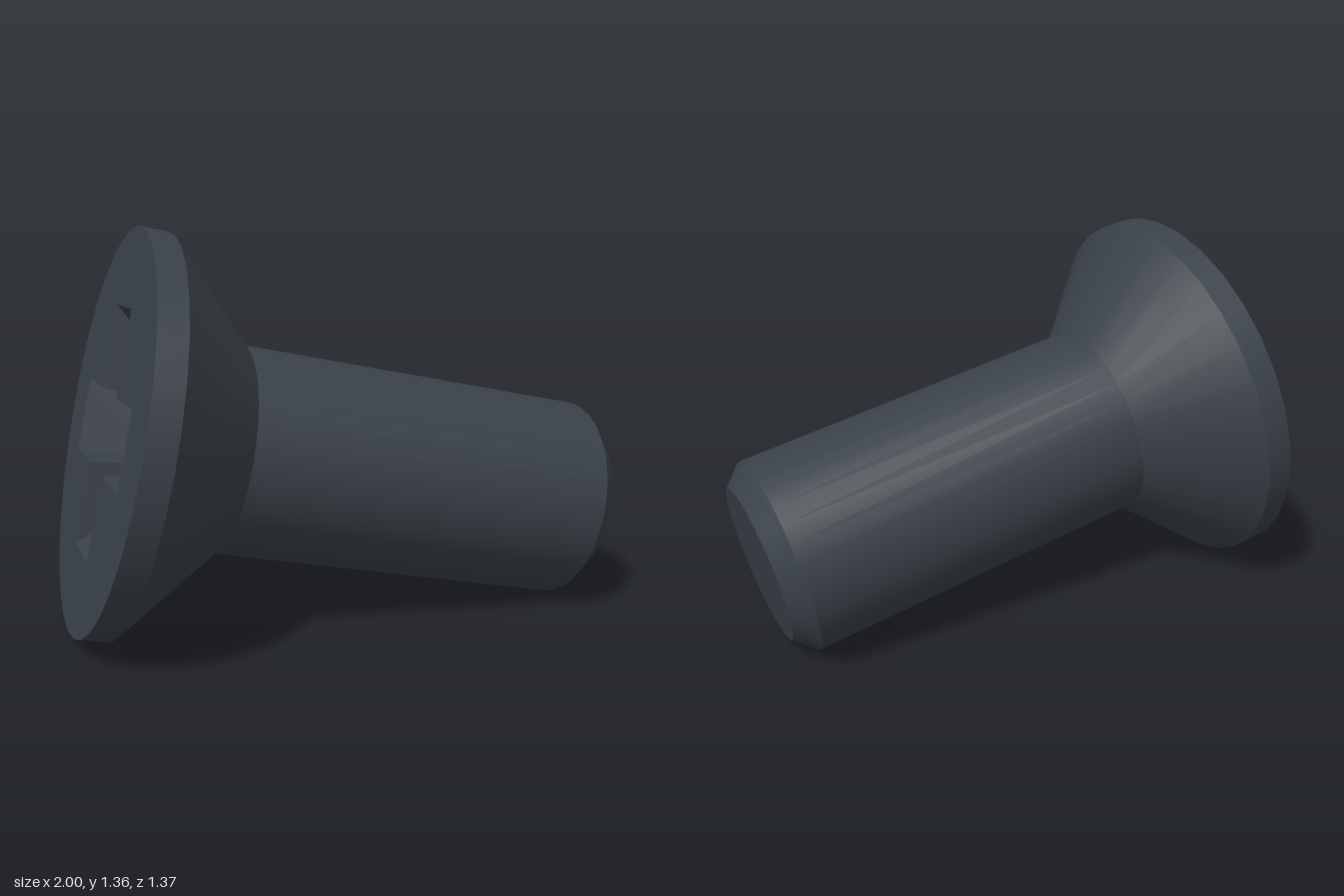
import * as THREE from 'three';

const SIDES = 32;
const HEAD_R = 0.684, SHAFT_R = 0.36, TIP_R = 0.288;
const RIM_T = 0.096, NECK_T = 0.42, CHAMFER_T = 1.728, END_T = 1.8;

// Twelve corners of a plus shape, counter-clockwise
function crossLoop(length, width) {
  const corners = [];
  for (let k = 0; k < 4; k++) {
    const c = Math.round(Math.cos(k * Math.PI / 2)), s = Math.round(Math.sin(k * Math.PI / 2));
    for (const [x, y] of [[length, -width], [length, width], [width, width]]) {
      corners.push(new THREE.Vector2(x * c - y * s, x * s + y * c));
    }
  }
  return corners;
}

// Cross-shaped pocket with sloping arm ends and a pointed floor
function recessGeometry(outline) {
  const at = (loop, depth) => loop.map(p => new THREE.Vector3(p.x, p.y, -depth));
  const rings = [
    at(outline, 0),
    at(crossLoop(0.2, 0.1), 0.24),
    at(outline.map(() => new THREE.Vector2()), 0.36),
  ];
  const pts = [];
  for (let r = 0; r < 2; r++) {
    for (let i = 0; i < 12; i++) {
      const j = (i + 1) % 12;
      const a = rings[r][i], b = rings[r][j], c = rings[r + 1][j], d = rings[r + 1][i];
      pts.push(a, b, c);
      if (r === 0) pts.push(a, c, d);
    }
  }
  const geometry = new THREE.BufferGeometry().setFromPoints(pts);
  geometry.computeVertexNormals();
  return geometry;
}

export function createModel() {
  const model = new THREE.Group();
  model.name = 'countersunkScrew';
  const steel = new THREE.MeshStandardMaterial({ color: 0x3a4149 });
  steel.name = 'dark steel';

  const screw = new THREE.Group();
  screw.name = 'screw';
  model.add(screw);
  const add = (name, geometry) => {
    const mesh = new THREE.Mesh(geometry, steel);
    mesh.name = name;
    screw.add(mesh);
  };

  // Turned surfaces, one per profile segment so that the edges stay sharp
  const turned = [
    ['headRim', HEAD_R, 0, HEAD_R, RIM_T],
    ['headCone', HEAD_R, RIM_T, SHAFT_R, NECK_T],
    ['shaft', SHAFT_R, NECK_T, SHAFT_R, CHAMFER_T],
    ['tipChamfer', SHAFT_R, CHAMFER_T, TIP_R, END_T],
    ['tipFace', TIP_R, END_T, 0, END_T],
  ];
  for (const [name, r0, t0, r1, t1] of turned) {
    add(name, new THREE.LatheGeometry([new THREE.Vector2(r0, t0), new THREE.Vector2(r1, t1)], SIDES));
  }

  // Head face with a cross-shaped opening
  const rim = [];
  for (let i = 0; i < SIDES; i++) {
    const a = i / SIDES * Math.PI * 2;
    rim.push(new THREE.Vector2(Math.cos(a) * HEAD_R, Math.sin(a) * HEAD_R));
  }
  const outline = crossLoop(0.415, 0.13);
  const face = new THREE.Shape(rim);
  face.holes.push(new THREE.Path([...outline].reverse()));
  add('headFace', new THREE.ShapeGeometry(face).rotateX(Math.PI / 2));
  add('driveRecess', recessGeometry(outline).rotateX(Math.PI / 2));

  // Tilt the screw so that it rests on its head rim and tip
  const axis = new THREE.Vector3(0.959, -0.197, 0.2015).normalize();
  const up = new THREE.Vector3(0, 1, 0).addScaledVector(axis, -axis.y).normalize();
  const side = new THREE.Vector3().crossVectors(up, axis);
  screw.quaternion.setFromRotationMatrix(new THREE.Matrix4().makeBasis(up, axis, side));
  screw.position.set(-0.806, 0.69, -0.015);
  return model;
}
